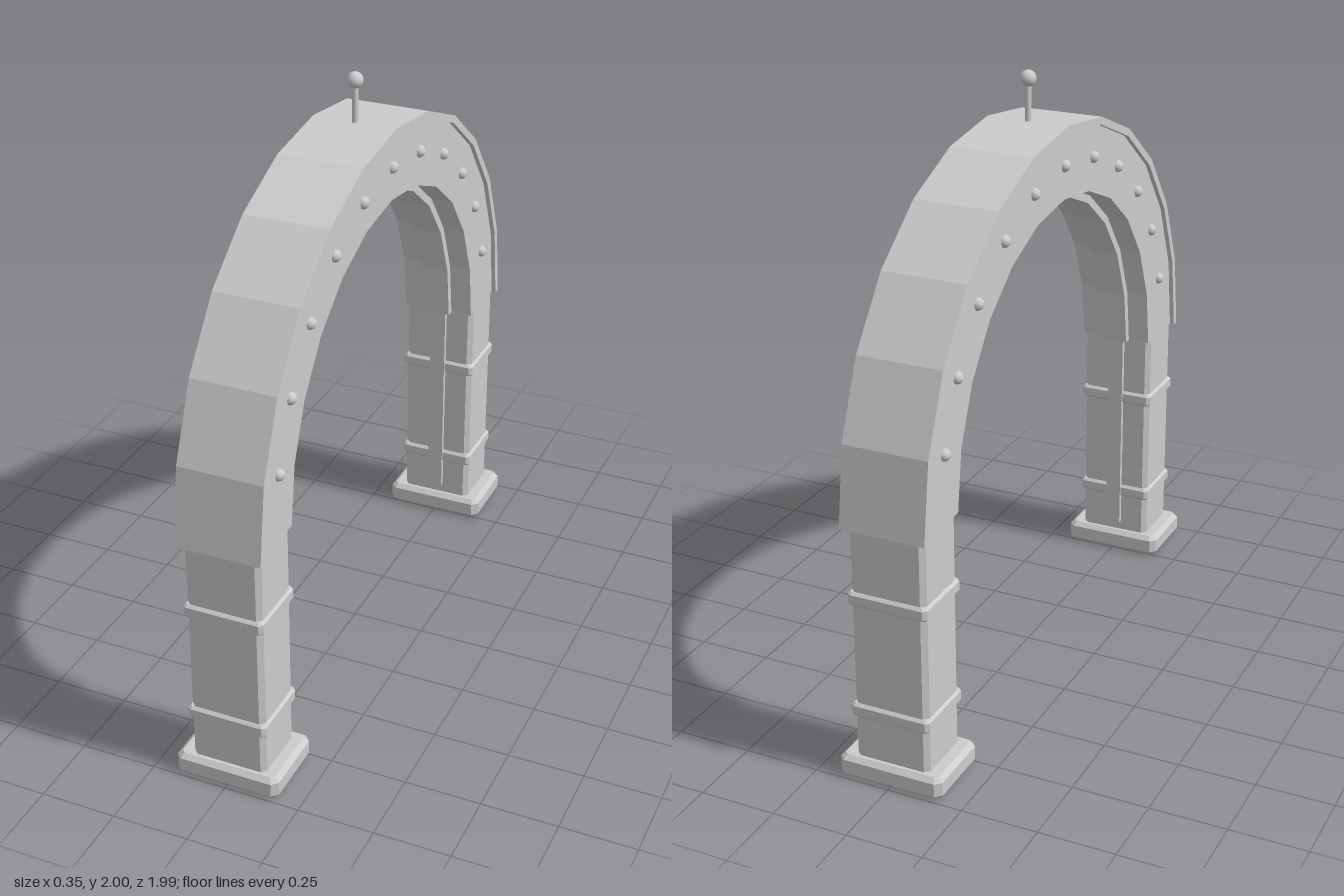
import * as THREE from 'three';

const stone = new THREE.MeshStandardMaterial({ color: 0xcccccc });
stone.name = 'light grey';

const SPRING = 0.85; // height where the arch starts
const LEG_Z = 0.866;

function add(parent, name, geometry, x = 0, y = 0, z = 0) {
  const mesh = new THREE.Mesh(geometry, stone);
  mesh.name = name;
  mesh.position.set(x, y, z);
  parent.add(mesh);
  return mesh;
}

// Upright block with cut vertical corners and, if bevel > 0, chamfered top and bottom edges
function block(w, h, d, corner, bevel = 0) {
  const x = w / 2 - bevel, z = d / 2 - bevel, c = Math.max(corner - bevel * 0.6, 0.002);
  const shape = new THREE.Shape([
    [x - c, -z], [x, -z + c], [x, z - c], [x - c, z],
    [-x + c, z], [-x, z - c], [-x, -z + c], [-x + c, -z],
  ].map(([a, b]) => new THREE.Vector2(a, b)));
  const geometry = new THREE.ExtrudeGeometry(shape, {
    depth: h - 2 * bevel, bevelEnabled: bevel > 0,
    bevelSize: bevel, bevelThickness: bevel, bevelSegments: 1,
  });
  return geometry.translate(0, 0, bevel).rotateX(-Math.PI / 2);
}

// Half ring of twelve straight segments, spanning z and y, with its width along x
function halfRing(inner, outer, width) {
  const points = [];
  const n = 12;
  for (let i = 0; i <= n; i++) {
    const a = (i / n) * Math.PI;
    points.push(new THREE.Vector2(Math.cos(a) * outer, Math.sin(a) * outer));
  }
  for (let i = n; i >= 0; i--) {
    const a = (i / n) * Math.PI;
    points.push(new THREE.Vector2(Math.cos(a) * inner, Math.sin(a) * inner));
  }
  const geometry = new THREE.ExtrudeGeometry(new THREE.Shape(points), { depth: width, bevelEnabled: false });
  return geometry.translate(0, 0, -width / 2).rotateY(Math.PI / 2);
}

export function createModel() {
  const model = new THREE.Group();
  model.name = 'archway';

  // Legs with foot, two bands and an inner strip
  for (const side of [1, -1]) {
    const leg = new THREE.Group();
    leg.name = side > 0 ? 'frontLeg' : 'backLeg';
    add(leg, 'foot', block(0.35, 0.075, 0.256, 0.02, 0.015), 0, 0, side * LEG_Z);
    add(leg, 'post', block(0.25, SPRING - 0.05, 0.205, 0.016), 0, 0.05, side * LEG_Z);
    for (const y of [0.215, 0.595]) {
      add(leg, 'band', block(0.266, 0.045, 0.226, 0.012, 0.008), 0, y, side * LEG_Z);
    }
    add(leg, 'innerStrip', new THREE.BoxGeometry(0.055, SPRING - 0.11, 0.035), 0, (SPRING + 0.11) / 2, side * 0.765);
    model.add(leg);
  }

  // Arch body, wider outer cover and narrow rib underneath
  add(model, 'archBody', halfRing(0.75, 0.967, 0.25), 0, SPRING, 0);
  add(model, 'archCover', halfRing(0.965, 0.99, 0.28), 0, SPRING, 0);
  add(model, 'archRib', halfRing(0.723, 0.752, 0.1), 0, SPRING, 0);

  // Studs along both faces
  const studGeometry = new THREE.SphereGeometry(0.02, 16, 12);
  for (const x of [-0.125, 0.125]) {
    for (let i = 1; i < 12; i++) {
      const a = (i / 12) * Math.PI;
      add(model, 'stud', studGeometry, x, SPRING + Math.sin(a) * 0.86, Math.cos(a) * 0.86);
    }
  }

  // Finial on the crown
  add(model, 'finialRod', new THREE.CylinderGeometry(0.01, 0.01, 0.14, 12), 0, 1.89, 0);
  add(model, 'finialBall', new THREE.SphereGeometry(0.026, 20, 14), 0, 1.974, 0);

  return model;
}
